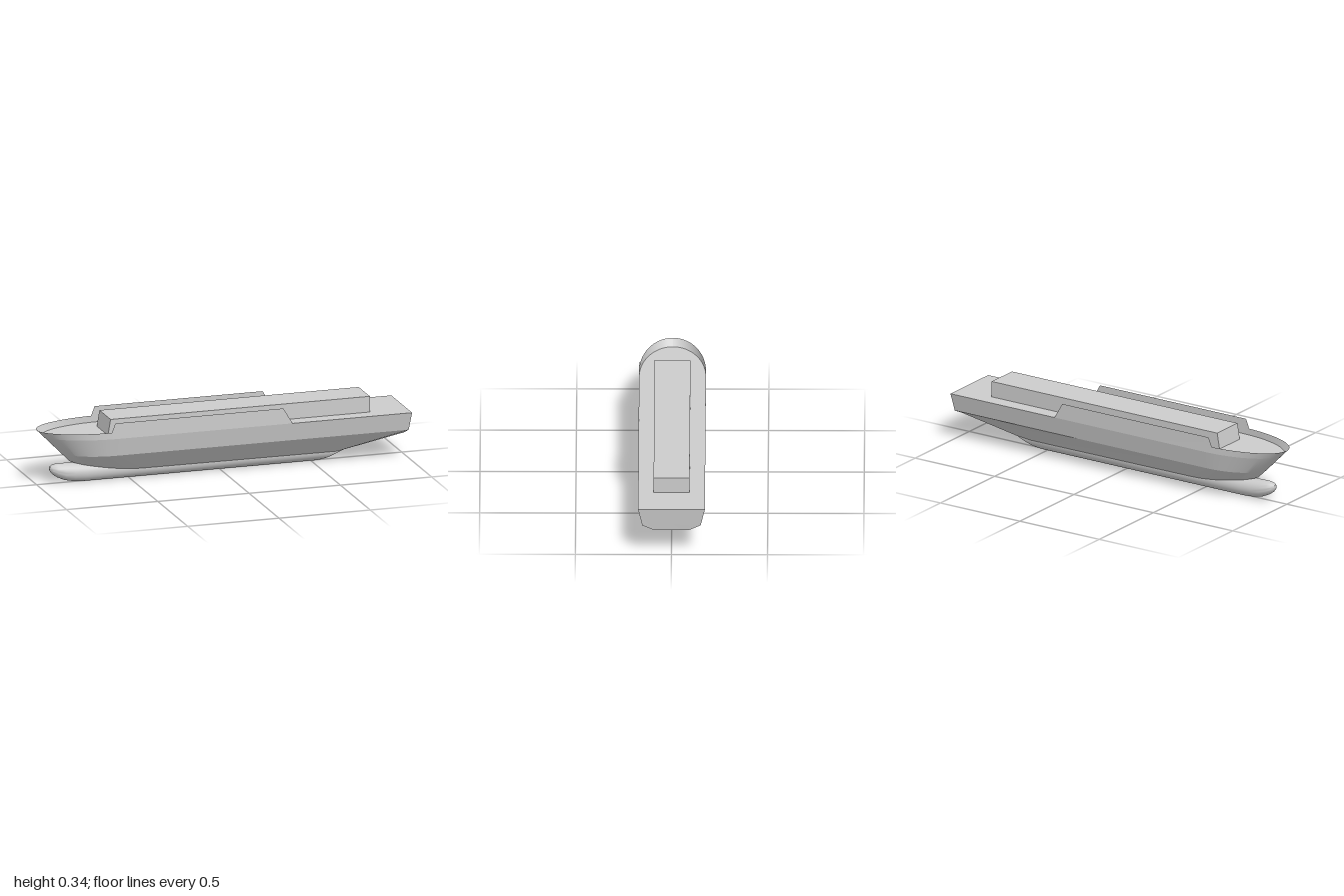
import * as THREE from 'three';
import { toCreasedNormals } from 'three/addons/utils/BufferGeometryUtils.js';

const material = new THREE.MeshStandardMaterial({ color: 0xcccccc });
const thin = new THREE.MeshStandardMaterial({ color: 0xcccccc, side: THREE.DoubleSide });

// Skin a list of cross-sections; closed sections wrap round and get an aft cap.
function loft(sections, closed, crease) {
  const n = sections[0].length, pos = sections.flat(2), index = [];
  for (let i = 0; i < sections.length - 1; i++) {
    for (let k = 0; k < (closed ? n : n - 1); k++) {
      const k2 = (k + 1) % n;
      const a = i * n + k, b = i * n + k2, c = a + n, d = b + n;
      index.push(a, b, c, b, d, c);
    }
  }
  const last = (sections.length - 1) * n;
  if (closed) for (let k = 1; k < n - 1; k++) index.push(last, last + k, last + k + 1);
  const g = new THREE.BufferGeometry();
  g.setAttribute('position', new THREE.Float32BufferAttribute(pos, 3));
  g.setIndex(index);
  return toCreasedNormals(g, crease);
}

// Elliptical bow plan: s = 0 at the shoulder, 1 at the stem.
function bowPoint(s, shoulder, stem, halfWidth, y) {
  return [shoulder + (stem - shoulder) * s, y, halfWidth * Math.sqrt(Math.max(0, 1 - s * s))];
}

const SHOULDER = -0.6, DECK = 0.26, BEAM = 0.174;
const bowSteps = [];
for (let i = 20; i >= 0; i--) bowSteps.push(Math.sin((i / 20) * Math.PI / 2));

function hullGeometry() {
  const mirror = half => [...half, ...half.map(([x, y, z]) => [x, y, -z]).reverse()];
  // Half sections: deck edge, chine, bottom edge
  const sections = bowSteps.map(s => mirror([
    bowPoint(s, SHOULDER, -0.965, BEAM, DECK),
    bowPoint(s, SHOULDER, -0.87, 0.152, 0.163),
    bowPoint(s, -0.42, -0.82, 0.048, 0.052 + 0.06 * s * s),
  ]));
  sections.push(mirror([[0.58, DECK, BEAM], [0.58, 0.163, 0.152], [0.58, 0.036, 0.036]]));
  sections.push(mirror([[1, DECK, BEAM], [0.988, 0.163, 0.152], [0.983, 0.133, 0.09]]));
  return loft(sections, true, 0.4);
}

function keelGeometry() {
  // Nose rings: x, bottom, top, half width
  const rings = [
    [-0.93, 0.08, 0.08, 0], [-0.927, 0.066, 0.092, 0.014], [-0.915, 0.05, 0.1, 0.026],
    [-0.89, 0.032, 0.105, 0.037], [-0.85, 0.014, 0.104, 0.045], [-0.8, 0.004, 0.102, 0.049],
    [-0.74, 0, 0.1, 0.05], [0.52, 0, 0.1, 0.05], [0.54, 0.003, 0.1, 0.048],
  ];
  const sides = 32;
  const sections = rings.map(([x, bottom, top, w], i) => Array.from({ length: sides }, (_, k) => {
    const a = (k / sides) * Math.PI * 2;
    const y = (bottom + top) / 2 - Math.sin(a) * (top - bottom) / 2;
    // The aft end is cut on a slant to meet the rising stern
    const slant = i >= rings.length - 2 ? 2.2 * y : 0;
    return [x + slant, y, Math.cos(a) * w];
  }));
  return loft(sections, true, 0.7);
}

function bulwarkGeometry(side) {
  // Low round the bow, stepping up along the midship sides
  const step = x => (x - SHOULDER) / (-1 - SHOULDER);
  const low = step(-0.645), high = step(-0.625);
  const steps = [...bowSteps.filter(s => s > low), low, high, 0];
  const sections = steps.map(s => [
    bowPoint(s, SHOULDER, -1, BEAM, s >= low ? 0.295 : 0.345),
    bowPoint(s, SHOULDER, -0.965, BEAM, DECK),
  ]);
  sections.push([[0.295, 0.345, BEAM], [0.295, DECK, BEAM]]);
  sections.push([[0.345, DECK, BEAM], [0.345, DECK, BEAM]]);
  // Reversing the mirrored strip keeps its outside facing out
  const strip = side > 0 ? sections
    : sections.map(sec => sec.map(([x, y, z]) => [x, y, -z]).reverse());
  return loft(strip, false, 0.5);
}

function superstructureGeometry() {
  const profile = new THREE.Shape([
    new THREE.Vector2(-0.64, DECK), new THREE.Vector2(0.795, DECK),
    new THREE.Vector2(0.795, 0.345), new THREE.Vector2(-0.625, 0.345),
  ]);
  return new THREE.ExtrudeGeometry(profile, { depth: 0.187, bevelEnabled: false }).translate(0, 0, -0.0935);
}

export function createModel() {
  const ship = new THREE.Group();
  ship.name = 'ship';
  const add = (name, geometry, mat = material) => {
    const mesh = new THREE.Mesh(geometry, mat);
    mesh.name = name;
    ship.add(mesh);
  };
  add('hull', hullGeometry());
  add('bulbousKeel', keelGeometry());
  add('leftBulwark', bulwarkGeometry(1), thin);
  add('rightBulwark', bulwarkGeometry(-1), thin);
  add('superstructure', superstructureGeometry());
  return ship;
}
